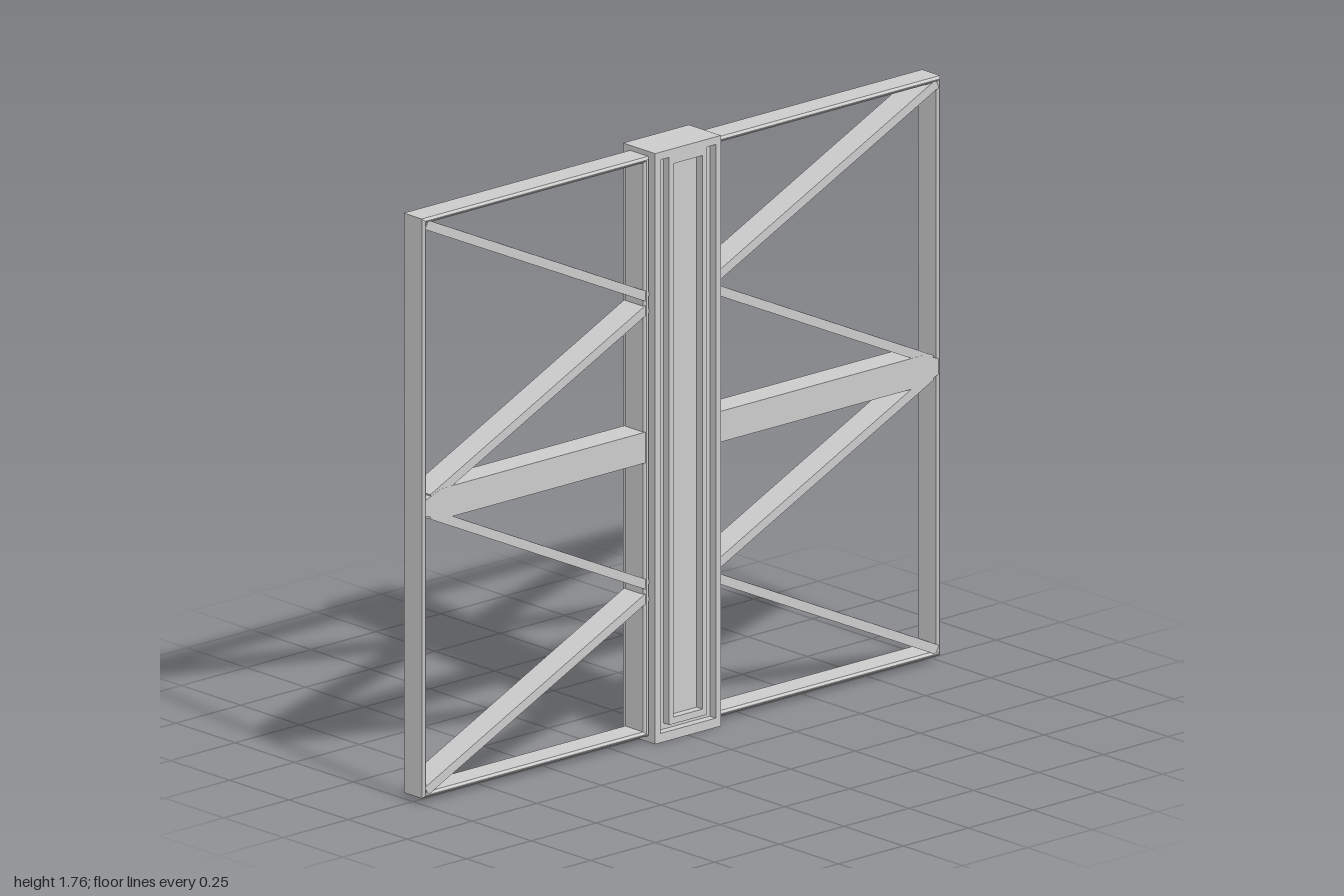
import * as THREE from 'three';

const material = new THREE.MeshStandardMaterial({ color: 0xcccccc, flatShading: true });
const H = 1.765;        // overall height
const MID = 0.884;      // height of the middle beam
const DEPTH = 0.085;    // thickness of the bracing

const points = (list) => list.map(([x, y]) => new THREE.Vector2(x, y));
const rect = (x0, y0, x1, y1) => points([[x0, y0], [x1, y0], [x1, y1], [x0, y1]]);

// Straight extrusion of an outline with holes, starting at z
function plate(name, outline, holes, z, depth, bevel) {
  const shape = new THREE.Shape(outline);
  holes.forEach((h) => shape.holes.push(new THREE.Path(h)));
  const geometry = new THREE.ExtrudeGeometry(shape, {
    depth, bevelEnabled: !!bevel, bevelSize: bevel || 0, bevelThickness: bevel || 0,
    bevelOffset: -(bevel || 0), bevelSegments: 1,
  });
  const mesh = new THREE.Mesh(geometry, material);
  mesh.name = name;
  mesh.position.z = z;
  return mesh;
}

// Diagonal bar between two points
function brace(x0, y0, x1, y1) {
  const length = Math.hypot(x1 - x0, y1 - y0);
  const mesh = new THREE.Mesh(new THREE.BoxGeometry(length, 0.028, DEPTH), material);
  mesh.name = 'diagonalBrace';
  mesh.position.set((x0 + x1) / 2, (y0 + y1) / 2, 0);
  mesh.rotation.z = Math.atan2(y1 - y0, x1 - x0);
  return mesh;
}

// One braced panel; side is 1 or -1
function createPanel(side) {
  const panel = new THREE.Group();
  panel.name = side > 0 ? 'leftPanel' : 'rightPanel';

  // Chamfered rectangular frame
  panel.add(plate('frame', rect(0.125, 0.018, 1, 1.75),
    [rect(0.146, 0.034, 0.984, 1.734)], -0.038, 0.076, 0.007));

  // Middle beam with a tapered outer end
  panel.add(plate('middleBeam', points([
    [0.13, MID - 0.046], [0.93, MID - 0.046], [0.993, MID - 0.022],
    [0.993, MID + 0.022], [0.93, MID + 0.046], [0.13, MID + 0.046],
  ]), [], -DEPTH / 2 - 0.0005, DEPTH + 0.001));

  // Diagonals above and below the beam
  for (const s of [1, -1]) {
    panel.add(brace(0.13, MID + s * 0.447, 0.985, MID + s * 0.846));
    panel.add(brace(0.13, MID + s * 0.414, 0.965, MID + s * 0.024));
  }

  // Half turn about the vertical axis: the panel is symmetric front to back
  if (side < 0) panel.rotation.y = Math.PI;
  return panel;
}

// Central column: solid back, front face with a U groove and a sunken panel
function createColumn() {
  const column = new THREE.Group();
  column.name = 'centralColumn';
  const core = new THREE.Mesh(new THREE.BoxGeometry(0.254, H, 0.111), material);
  core.name = 'columnCore';
  core.position.set(0, H / 2, -0.0125);
  column.add(core);

  const groove = points([
    [-0.107, 0.028], [0.107, 0.028], [0.107, 1.742], [0.073, 1.742],
    [0.073, 0.046], [-0.073, 0.046], [-0.073, 1.742], [-0.107, 1.742],
  ]);
  column.add(plate('columnFace', rect(-0.127, 0, 0.127, H),
    [groove, rect(-0.056, 0.066, 0.056, 1.72)], 0.043, 0.025));
  return column;
}

export function createModel() {
  const model = new THREE.Group();
  model.name = 'bracedDoublePanel';
  model.add(createColumn(), createPanel(1), createPanel(-1));
  return model;
}
